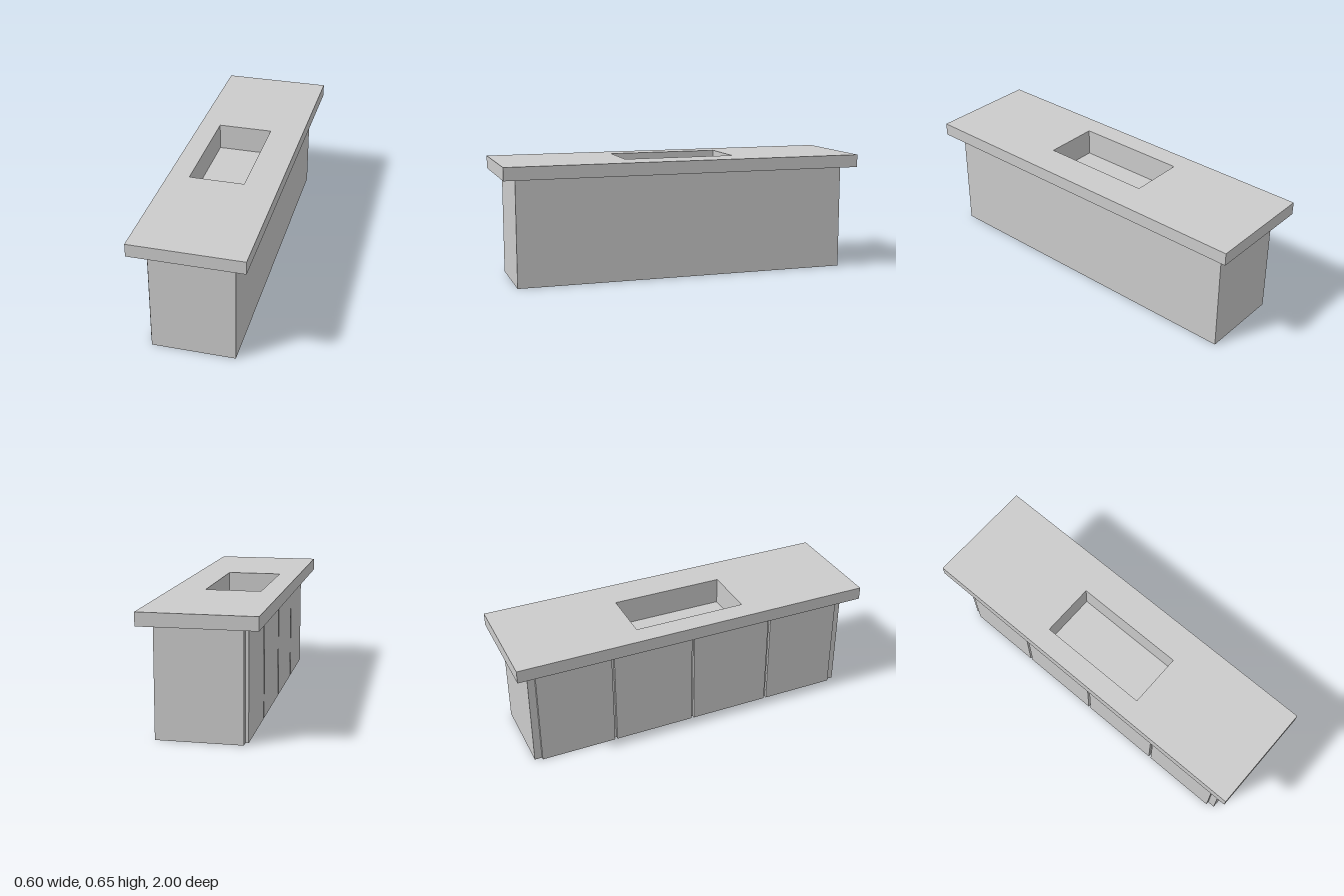
import * as THREE from 'three';

const material = new THREE.MeshStandardMaterial({ color: 0xcccccc, flatShading: true });

// Rectangle outline in plan; symmetric in z
function rectangle(target, x0, x1, halfZ) {
  target.moveTo(x0, -halfZ);
  target.lineTo(x1, -halfZ);
  target.lineTo(x1, halfZ);
  target.lineTo(x0, halfZ);
  target.closePath();
  return target;
}

// Horizontal slab between two heights, optionally with the basin cut through it
function slab(name, x0, x1, halfZ, y0, y1, withBasin) {
  const shape = rectangle(new THREE.Shape(), x0, x1, halfZ);
  if (withBasin) shape.holes.push(rectangle(new THREE.Path(), -0.185, 0.115, 0.31));
  const geometry = new THREE.ExtrudeGeometry(shape, { depth: y1 - y0, bevelEnabled: false });
  geometry.rotateX(-Math.PI / 2);
  geometry.translate(0, y0, 0);
  const mesh = new THREE.Mesh(geometry, material);
  mesh.name = name;
  return mesh;
}

export function createModel() {
  const island = new THREE.Group();
  island.name = 'kitchenIsland';

  const basinFloor = 0.503, counterBottom = 0.58, counterTop = 0.65;

  // Cabinet, whose lower block closes the bottom of the sink
  island.add(slab('cabinet', -0.215, 0.23, 0.93, 0, basinFloor, false));
  island.add(slab('cabinetBasinWalls', -0.215, 0.23, 0.93, basinFloor, counterBottom, true));

  // Overhanging countertop with the sink opening
  island.add(slab('countertop', -0.3, 0.3, 1, counterBottom, counterTop, true));

  // Four doors with narrow gaps on the -x side, set in from the ends
  const edges = [[-0.89, -0.472], [-0.458, -0.007], [0.007, 0.458], [0.472, 0.89]];
  edges.forEach(([z0, z1], i) => {
    const door = new THREE.Mesh(new THREE.BoxGeometry(0.016, counterBottom, z1 - z0), material);
    door.position.set(-0.223, counterBottom / 2, (z0 + z1) / 2);
    door.name = `door${i + 1}`;
    island.add(door);
  });

  return island;
}
